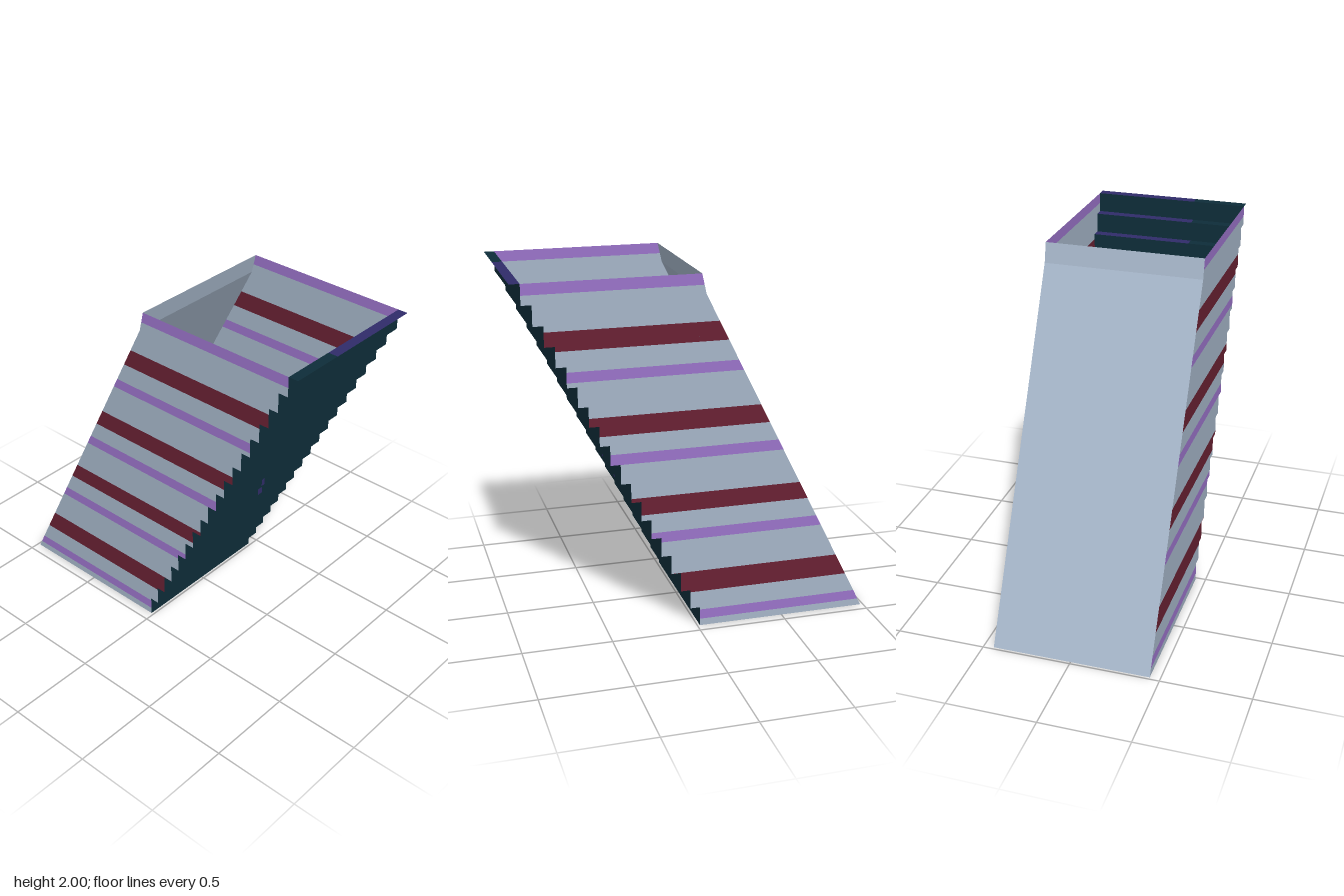
import * as THREE from 'three';

const material = (name, color) => {
  const m = new THREE.MeshStandardMaterial({ color, side: THREE.DoubleSide });
  m.name = name;
  return m;
};

const HALF = 0.443, STEPS = 18, RISE = 2 / STEPS, RUN = 0.0553, START = -0.015;
const frontZ = (i) => START + i * RUN;
// back panel leans forward, then bends steeper at the last step
const BEND = 1.89;
const backZ = (y) => (y <= BEND ? -0.985 + 0.5 * y : -0.04 + (y - BEND) * 0.227);

// one flat-shaded mesh from a list of four-cornered faces
function faces(name, mat, quads) {
  const pos = [];
  for (const [a, b, c, d] of quads) pos.push(...a, ...b, ...c, ...a, ...c, ...d);
  const g = new THREE.BufferGeometry();
  g.setAttribute('position', new THREE.Float32BufferAttribute(pos, 3));
  g.computeVertexNormals();
  const mesh = new THREE.Mesh(g, mat);
  mesh.name = name;
  return mesh;
}

const upright = (x0, x1, y0, y1, z) => [[x0, y0, z], [x1, y0, z], [x1, y1, z], [x0, y1, z]];
const level = (x0, x1, z0, z1, y) => [[x0, y, z1], [x1, y, z1], [x1, y, z0], [x0, y, z0]];

export function createModel() {
  const wall = material('pale blue', 0xa5b5c8);
  const lilac = material('lilac', 0x9a73c9);
  const maroon = material('maroon', 0x692133);
  const teal = material('dark teal', 0x0e2d39);
  const indigo = material('indigo', 0x302c69);
  const dusk = material('dusky indigo', 0x2f2b5c);
  const model = new THREE.Group();
  model.name = 'steppedShaft';

  // risers and treads of the stepped front
  const risers = [], tealTreads = [], indigoTreads = [], duskTreads = [];
  for (let i = 0; i < STEPS; i++) {
    const z = frontZ(i), y = (i + 1) * RISE;
    risers.push(upright(-HALF, HALF, i * RISE, y, z));
    tealTreads.push(level(-HALF, -0.14, z, z + RUN, y));
    const split = i < 6 ? 0.16 : HALF;
    indigoTreads.push(level(-0.14, split, z, z + RUN, y));
    if (i < 6) duskTreads.push(level(split, HALF, z, z + RUN, y));
  }
  model.add(
    faces('risers', teal, risers),
    faces('treadEnds', teal, tealTreads),
    faces('treads', indigo, indigoTreads),
    faces('lowerTreadEnds', dusk, duskTreads),
  );

  // small paint flecks on the risers
  model.add(faces('riserFlecks', indigo, [
    upright(-0.025, 0.02, 1.52, 1.55, frontZ(13) + 0.003),
    upright(0, 0.025, 0.9, 0.965, frontZ(8) + 0.003),
    upright(0.038, 0.073, 0.79, 0.885, frontZ(7) + 0.003),
  ]));

  // striped side walls, cut at every step and stripe edge
  const lilacBands = [[0.04, 0.097], [0.53, 0.59], [1.0, 1.06], [1.47, 1.527], [1.94, 2]];
  const maroonBands = [[0.21, 0.335], [0.7, 0.8], [1.165, 1.27], [1.64, 1.745]];
  const cuts = [BEND, ...lilacBands.flat(), ...maroonBands.flat()];
  for (let i = 0; i <= STEPS; i++) cuts.push(i * RISE);
  cuts.sort((a, b) => a - b);
  const within = (bands, y) => bands.some(([a, b]) => y > a && y < b);
  for (const [side, s] of [['left', 1], ['right', -1]]) {
    const plain = [], light = [], dark = [];
    for (let k = 0; k + 1 < cuts.length; k++) {
      const y0 = cuts[k], y1 = cuts[k + 1], mid = (y0 + y1) / 2;
      if (y1 - y0 < 1e-6) continue;
      const z = frontZ(Math.floor(mid / RISE)), x = s * HALF;
      const quad = [[x, y0, z], [x, y0, backZ(y0)], [x, y1, backZ(y1)], [x, y1, z]];
      if (s < 0) quad.reverse();
      (within(lilacBands, mid) ? light : within(maroonBands, mid) ? dark : plain).push(quad);
    }
    model.add(
      faces(side + 'Wall', wall, plain),
      faces(side + 'LilacStripes', lilac, light),
      faces(side + 'MaroonStripes', maroon, dark),
    );
  }

  // sloping back panel with its bent top edge
  const backQuad = (y0, y1) => [
    [HALF, y0, backZ(y0)], [-HALF, y0, backZ(y0)], [-HALF, y1, backZ(y1)], [HALF, y1, backZ(y1)],
  ];
  model.add(faces('backPanel', wall, [backQuad(0, BEND), backQuad(BEND, 2)]));
  return model;
}
